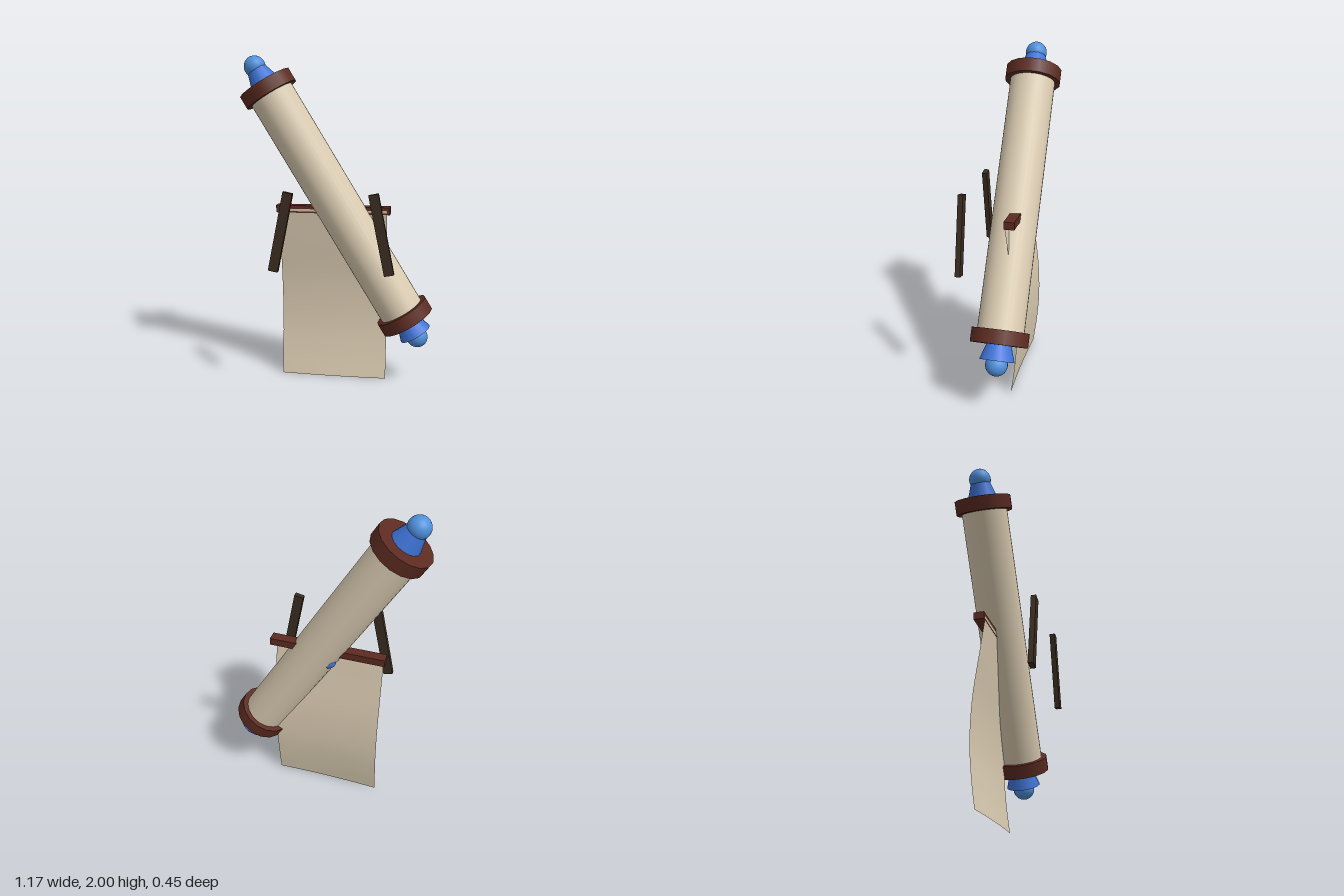
import * as THREE from 'three';

const material = (name, color, side = THREE.FrontSide) => {
  const m = new THREE.MeshStandardMaterial({ color, side });
  m.name = name;
  return m;
};

export function createModel() {
  const parchment = material('parchment', 0xdccdb3, THREE.DoubleSide);
  const redBrown = material('redBrownWood', 0x5c2b21);
  const darkBrown = material('darkBrownWood', 0x3a2c20);
  const blue = material('blue', 0x3f74d8);
  const lightBlue = material('lightBlue', 0x4f90dc);

  const model = new THREE.Group();
  model.name = 'scrollModel';
  const add = (parent, name, geometry, mat, x = 0, y = 0, z = 0, rz = 0) => {
    const mesh = new THREE.Mesh(geometry, mat);
    mesh.name = name;
    mesh.position.set(x, y, z);
    mesh.rotation.z = rz;
    parent.add(mesh);
    return mesh;
  };

  // Rolled scroll, tilted as a whole
  const scroll = new THREE.Group();
  scroll.name = 'rolledScroll';
  scroll.position.set(0, 1.12, -0.057);
  scroll.rotation.z = THREE.MathUtils.degToRad(31.4);
  model.add(scroll);
  add(scroll, 'roll', new THREE.CylinderGeometry(0.137, 0.137, 1.58, 32), parchment);

  // End caps, necks (both flare the same way) and knobs
  for (const [end, s] of [['upper', 1], ['lower', -1]]) {
    const rim = new THREE.CylinderGeometry(0.17, 0.17, 0.082, 16);
    add(scroll, end + 'Cap', rim, redBrown, 0, s * 0.802);
    add(scroll, end + 'Neck', new THREE.CylinderGeometry(0.06, 0.103, 0.13, 16), blue, 0, s * 0.868);
    add(scroll, end + 'Knob', new THREE.SphereGeometry(0.065, 20, 14), lightBlue, 0, s * 0.955);
  }

  // Hanging sheet, bent along a gentle curve
  const profile = new THREE.CatmullRomCurve3([
    [1.085, -0.052], [0.89, -0.079], [0.6, -0.118], [0.35, -0.127], [0.15, -0.112], [0, -0.092],
  ].map(([y, z]) => new THREE.Vector3(0, y, z)));
  const sheet = new THREE.PlaneGeometry(0.662, 1, 12, 24);
  const p = sheet.attributes.position;
  for (let i = 0; i < p.count; i++) {
    const q = profile.getPoint(0.5 - p.getY(i));
    const sag = 0.008 * (0.5 - p.getY(i)) * Math.cos(p.getX(i) / 0.331 * Math.PI / 2);
    p.setXYZ(i, p.getX(i) - 0.03, q.y, q.z + sag);
  }
  sheet.computeVertexNormals();
  add(model, 'hangingSheet', sheet, parchment);

  // Rail at the top of the sheet
  add(model, 'sheetRail', new THREE.BoxGeometry(0.7, 0.045, 0.062), redBrown, -0.03, 1.083, -0.085);

  // Small bead at the back of the roll
  add(model, 'backBead', new THREE.SphereGeometry(0.045, 16, 12), blue, -0.045, 1.02, -0.11);

  // Pair of leaning sticks in front
  for (const [side, s] of [['left', 1], ['right', -1]]) {
    add(model, side + 'Stick', new THREE.BoxGeometry(0.058, 0.475, 0.031), darkBrown,
      s * 0.293, 0.99, 0.207, s * 0.2);
  }
  return model;
}
